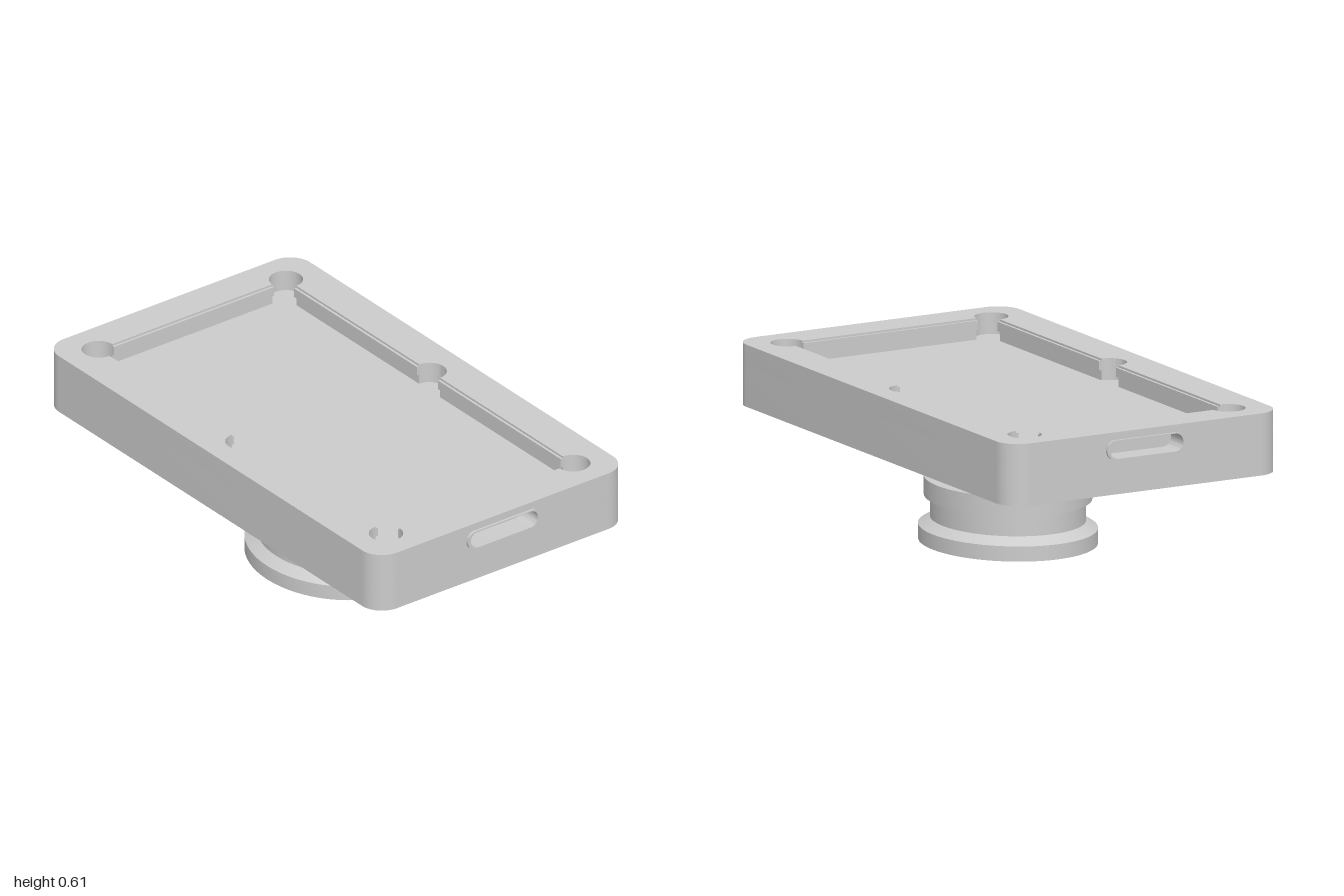
import * as THREE from 'three';
import { toCreasedNormals } from 'three/addons/utils/BufferGeometryUtils.js';

const material = new THREE.MeshStandardMaterial({ color: 0xcccccc });
const BOTTOM = 0.38, FIELD = 0.53, TOP = 0.61;
const HX = 0.99, HZ = 0.57, CORNER = 0.09;     // table half sizes
const FX = 0.853, FZ = 0.425, POCKET = 0.062;  // playing field half sizes
const SLOT_DEPTH = 0.08, PANEL = 0.2;          // end panels with the ball slots

function addMesh(parent, name, geometry) {
  const mesh = new THREE.Mesh(geometry, material);
  mesh.name = name;
  parent.add(mesh);
  return mesh;
}

function extrude(shape, depth) {
  const g = new THREE.ExtrudeGeometry(shape, { depth, bevelEnabled: false, curveSegments: 12 });
  return toCreasedNormals(g, 0.5);
}

// Rounded table outline, notched at both ends for the slot panels
function tableShape() {
  const s = new THREE.Shape();
  const x = HX - CORNER, z = HZ - CORNER, n = HX - SLOT_DEPTH, q = Math.PI / 2;
  s.moveTo(HX, -z);
  s.lineTo(HX, -PANEL).lineTo(n, -PANEL).lineTo(n, PANEL).lineTo(HX, PANEL).lineTo(HX, z);
  s.absarc(x, z, CORNER, 0, q);
  s.lineTo(-x, HZ);
  s.absarc(-x, z, CORNER, q, 2 * q);
  s.lineTo(-HX, PANEL).lineTo(-n, PANEL).lineTo(-n, -PANEL).lineTo(-HX, -PANEL).lineTo(-HX, -z);
  s.absarc(-x, -z, CORNER, 2 * q, 3 * q);
  s.lineTo(x, -HZ);
  s.absarc(x, -z, CORNER, 3 * q, 4 * q);
  return s;
}

// Field opening joined with its six pockets
function fieldHole() {
  const p = new THREE.Path(), q = Math.PI / 2;
  p.moveTo(FX, -FZ + POCKET);
  p.absarc(FX, FZ, POCKET, -q, 2 * q);
  p.absarc(0, FZ, POCKET, 0, 2 * q);
  p.absarc(-FX, FZ, POCKET, 0, 3 * q);
  p.absarc(-FX, -FZ, POCKET, q, 4 * q);
  p.absarc(0, -FZ, POCKET, 2 * q, 4 * q);
  p.absarc(FX, -FZ, POCKET, 2 * q, 5 * q);
  p.closePath();
  return p;
}

function stadium(PathType, halfLength, r, y) {
  const p = new PathType(), x = halfLength - r;
  p.moveTo(x, y - r);
  p.absarc(x, y, r, -Math.PI / 2, Math.PI / 2);
  p.absarc(-x, y, r, Math.PI / 2, Math.PI * 1.5);
  p.closePath();
  return p;
}

// Oval turned part from [radius, height] pairs
function turned(profile, zScale) {
  const points = profile.map(([r, y]) => new THREE.Vector2(r, y));
  const g = toCreasedNormals(new THREE.LatheGeometry(points, 64), 0.4);
  return g.scale(1, 1, zScale);
}

export function createModel() {
  const model = new THREE.Group();
  model.name = 'poolTable';

  // Pedestal and flared collar
  addMesh(model, 'pedestal', turned([
    [0, 0], [0.36, 0], [0.36, 0.056], [0.312, 0.083], [0.312, 0.163], [0.337, 0.163],
    [0.337, 0.234], [0.254, 0.234], [0.254, 0.3],
  ], 0.868));
  addMesh(model, 'collar', turned([
    [0, 0.282], [0.378, 0.282], [0.425, 0.334], [0.375, BOTTOM + 0.001],
  ], 0.893));

  // Table bed and raised rim
  const bed = extrude(tableShape(), FIELD - BOTTOM).rotateX(-Math.PI / 2);
  addMesh(model, 'tableBed', bed.translate(0, BOTTOM, 0));
  const rimShape = tableShape();
  rimShape.holes.push(fieldHole());
  const rim = extrude(rimShape, TOP - FIELD).rotateX(-Math.PI / 2);
  addMesh(model, 'tableRim', rim.translate(0, FIELD, 0));

  // Cushion noses along the rails
  const nose = 0.01, noseH = 0.035, noseY = 0.585;
  for (const s of [-1, 1]) {
    const end = new THREE.BoxGeometry(nose, noseH, 2 * (FZ - POCKET));
    addMesh(model, 'endCushion', end).position.set(s * (FX - nose / 2), noseY, 0);
    for (const t of [-1, 1]) {
      const side = new THREE.BoxGeometry(FX - 2 * POCKET, noseH, nose);
      addMesh(model, 'sideCushion', side).position.set(t * FX / 2, noseY, s * (FZ - nose / 2));
    }
  }

  // End panels with a framed ball slot
  for (const s of [-1, 1]) {
    const end = new THREE.Group();
    end.name = 'ballReturn';
    end.rotation.y = s * Math.PI / 2;
    const panel = new THREE.Shape();
    panel.moveTo(-PANEL, BOTTOM).lineTo(PANEL, BOTTOM).lineTo(PANEL, TOP).lineTo(-PANEL, TOP);
    panel.closePath();
    panel.holes.push(stadium(THREE.Path, 0.152, 0.033, 0.546));
    addMesh(end, 'endPanel', extrude(panel, SLOT_DEPTH)).position.z = HX - SLOT_DEPTH;
    const frame = stadium(THREE.Shape, 0.165, 0.036, 0.546);
    frame.holes.push(stadium(THREE.Path, 0.152, 0.033, 0.546));
    addMesh(end, 'slotFrame', extrude(frame, 0.015)).position.z = HX - 0.005;
    model.add(end);
  }
  return model;
}
